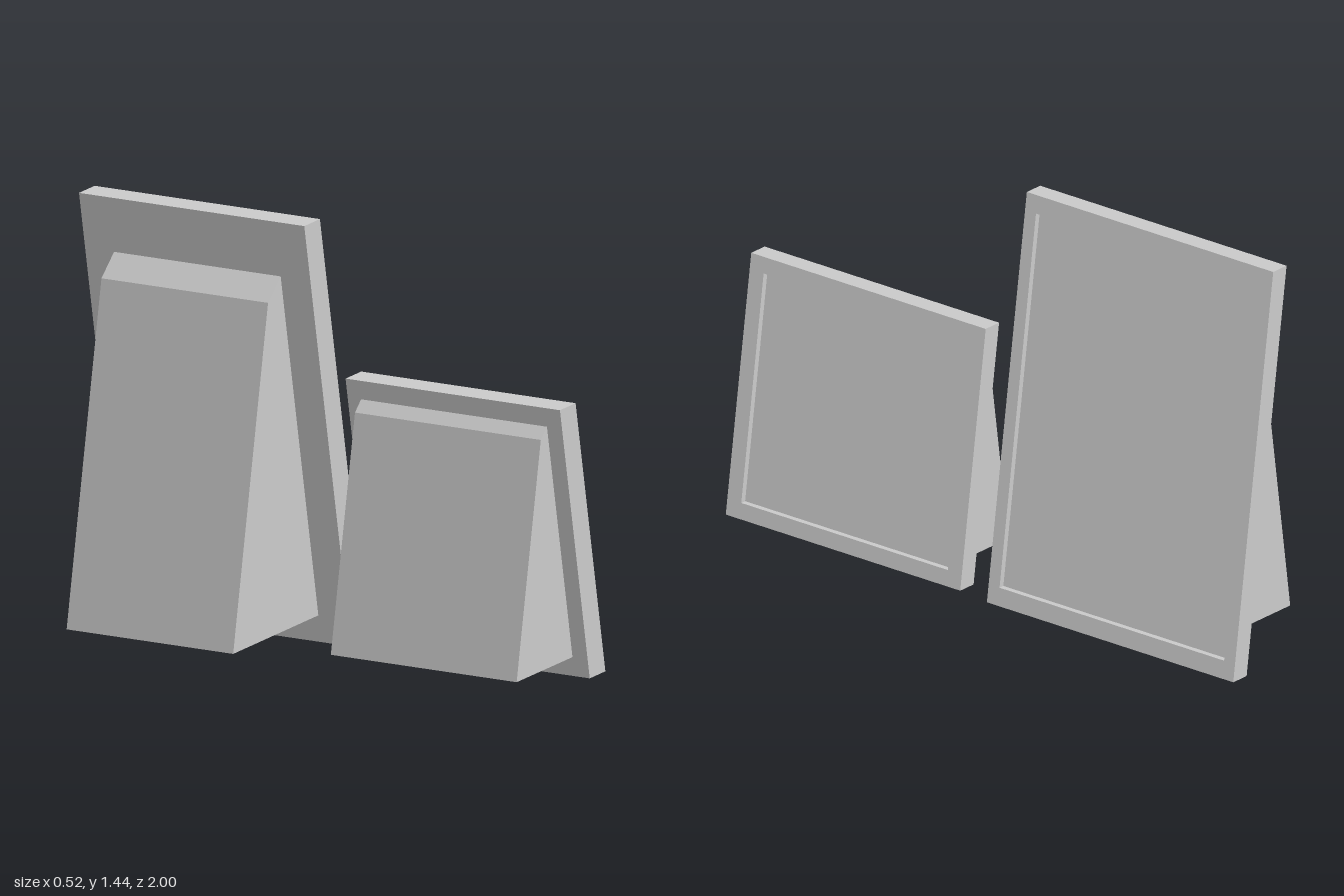
import * as THREE from 'three';

const TILT = 0.1635;      // backward lean of the frames
const THICK = 0.08;       // frame thickness
const RECESS = 0.023;     // depth of the picture opening
const material = new THREE.MeshStandardMaterial({ color: 0xcccccc, flatShading: true });

function part(name, geometry) {
  const mesh = new THREE.Mesh(geometry, material);
  mesh.name = name;
  return mesh;
}

const corners = (w, y0, y1) =>
  [[-w, y0], [w, y0], [w, y1], [-w, y1]].map(([x, y]) => new THREE.Vector2(x, y));

// A leaning frame facing +x with a wedge-shaped stand behind it
function standingFrame({ name, z0, z1, base, height, sideBorder, endBorder, standZ, standProfile }) {
  const group = new THREE.Group();
  group.name = name;
  const width = z1 - z0;

  const frame = new THREE.Group();
  frame.name = 'frame';
  frame.position.set(0.181, base, (z0 + z1) / 2);
  frame.rotation.z = TILT;

  // Raised border around the picture opening
  const outline = new THREE.Shape(corners(width / 2, 0, height));
  outline.holes.push(new THREE.Path(
    corners(width / 2 - sideBorder, endBorder, height - endBorder).reverse()));
  const rim = new THREE.ExtrudeGeometry(outline, { depth: RECESS, bevelEnabled: false });
  rim.rotateY(Math.PI / 2).translate(THICK - RECESS, 0, 0);
  frame.add(part('rim', rim));

  // Solid board that forms the picture surface and the back
  const board = new THREE.BoxGeometry(THICK - RECESS, height, width);
  board.translate((THICK - RECESS) / 2, height / 2, 0);
  frame.add(part('backBoard', board));
  group.add(frame);

  // Stand: side profile extruded across the width
  const profile = new THREE.Shape(standProfile.map(([x, y]) => new THREE.Vector2(x, y)));
  const stand = new THREE.ExtrudeGeometry(profile, { depth: standZ[1] - standZ[0], bevelEnabled: false });
  stand.translate(0, 0, standZ[0]);
  group.add(part('stand', stand));
  return group;
}

export function createModel() {
  const model = new THREE.Group();
  model.name = 'pictureFrames';
  model.add(
    standingFrame({
      name: 'tallFrame', z0: -1, z1: -0.029, base: 0, height: 1.45,
      sideBorder: 0.043, endBorder: 0.064, standZ: [-0.875, -0.157],
      standProfile: [[-0.264, 0.02], [0.166, 0.091], [-0.024, 1.245], [-0.088, 1.165]],
    }),
    standingFrame({
      name: 'shortFrame', z0: 0.076, z1: 1, base: 0.011, height: 0.925,
      sideBorder: 0.055, endBorder: 0.057, standZ: [0.134, 0.935],
      standProfile: [[-0.112, 0.03], [0.17, 0.076], [0.041, 0.86], [0.01, 0.82]],
    }),
  );
  return model;
}
